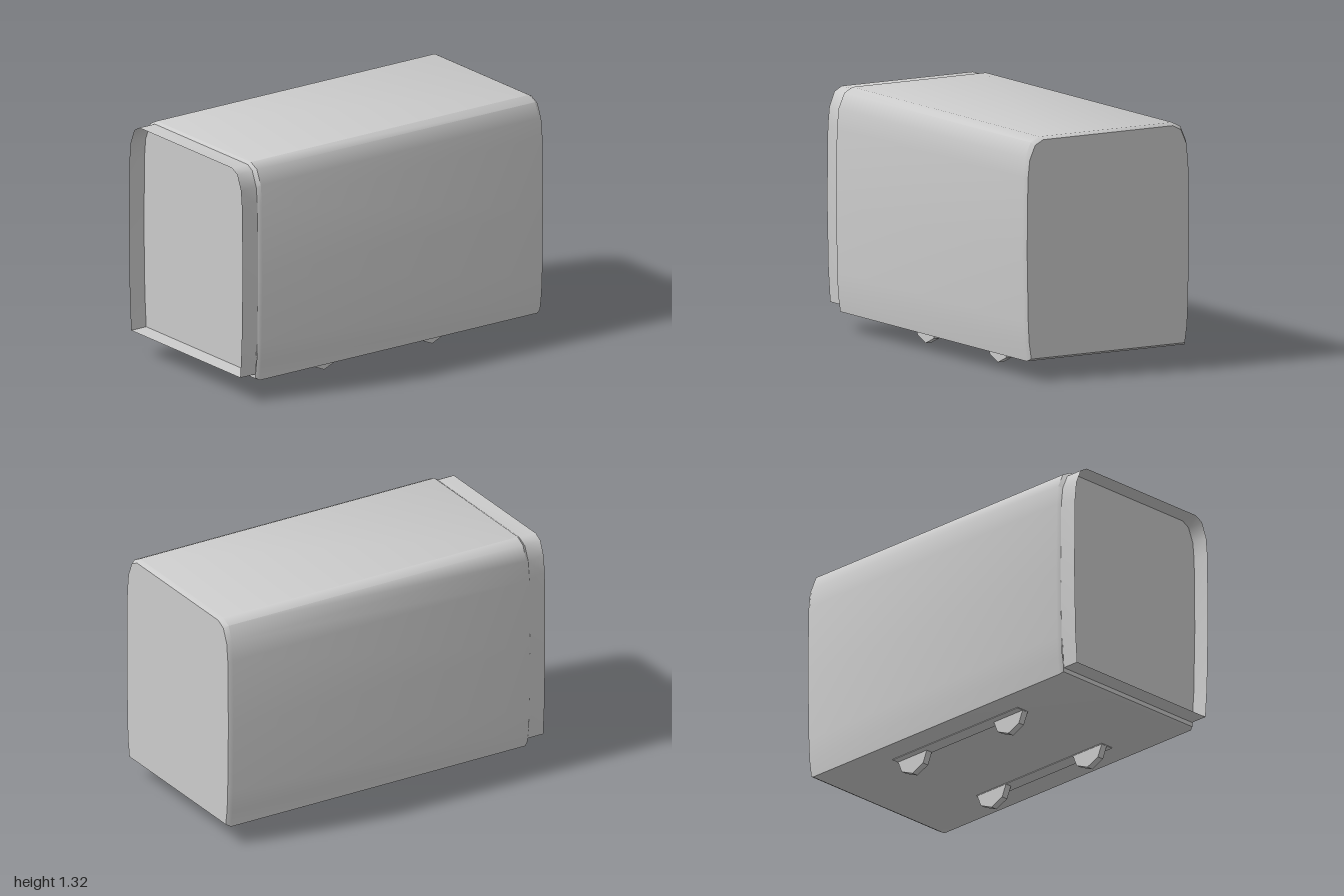
import * as THREE from 'three';
import { toCreasedNormals } from 'three/addons/utils/BufferGeometryUtils.js';

const grey = new THREE.MeshStandardMaterial({ color: 0xcccccc, side: THREE.DoubleSide });
grey.name = 'grey';

// Right half of each outline, bottom to top
const bodyHalf = [[0.5, 0.105], [0.514, 0.2], [0.52, 0.32], [0.527, 0.7], [0.522, 1.1], [0.51, 1.21], [0.475, 1.29], [0.422, 1.317]];
const collarHalf = [[0.488, 0.14], [0.5, 0.32], [0.508, 0.7], [0.503, 1.1], [0.493, 1.2], [0.46, 1.28], [0.415, 1.305]];
const panelHalf = [[0.49, 0.115], ...collarHalf.slice(1)];

// Mirror a half outline into a counter-clockwise loop
const mirror = (half) => [...half, ...half.map(([x, y]) => [-x, y]).reverse()];

// Shrink an outline towards its middle
const inset = (loop, d) => loop.map(([x, y]) => [x * (1 - d / 0.527), 0.711 + (y - 0.711) * (1 - d / 0.606)]);

// Skin loops of equal length, from back to front
function loft(sections) {
  const pos = [];
  for (let s = 0; s < sections.length - 1; s++) {
    const a = sections[s], b = sections[s + 1], n = a.loop.length;
    for (let i = 0; i < n; i++) {
      const j = (i + 1) % n;
      const p = [...a.loop[i], a.z], q = [...a.loop[j], a.z];
      const r = [...b.loop[j], b.z], t = [...b.loop[i], b.z];
      pos.push(...p, ...q, ...r, ...p, ...r, ...t);
    }
  }
  const g = new THREE.BufferGeometry();
  g.setAttribute('position', new THREE.Float32BufferAttribute(pos, 3));
  return toCreasedNormals(g, 0.7);
}

const shapeOf = (loop) => new THREE.Shape(loop.map(([x, y]) => new THREE.Vector2(x, y)));

export function createModel() {
  const model = new THREE.Group();
  const add = (name, geometry, x = 0, y = 0, z = 0) => {
    const mesh = new THREE.Mesh(geometry, grey);
    mesh.name = name;
    mesh.position.set(x, y, z);
    model.add(mesh);
  };

  // Long rounded housing with narrow chamfers at both ends
  const body = mirror(bodyHalf), end = inset(body, 0.014);
  add('housing', loft([
    { z: -1, loop: end }, { z: -0.975, loop: body },
    { z: 0.88, loop: body }, { z: 0.9, loop: end },
  ]));
  add('backPanel', new THREE.ShapeGeometry(shapeOf(end)).rotateY(Math.PI), 0, 0, -1);

  // Open collar around a recessed front panel
  const collar = mirror(collarHalf);
  add('frontCollar', loft([{ z: 0.895, loop: collar }, { z: 1, loop: collar }]));
  add('frontPanel', new THREE.ShapeGeometry(shapeOf(mirror(panelHalf))), 0, 0, 0.9);

  // Two mounting rails, each with two pointed feet
  const footShape = shapeOf([[-0.11, 0.105], [-0.08, 0.035], [0, 0], [0.08, 0.035], [0.11, 0.105]]);
  const foot = new THREE.ExtrudeGeometry(footShape, { depth: 0.038, bevelEnabled: false });
  foot.translate(0, 0, -0.019).rotateY(Math.PI / 2);
  for (const side of [1, -1]) {
    add('rail', new THREE.BoxGeometry(0.08, 0.014, 0.94), side * 0.32, 0.108, -0.045);
    for (const z of [0.315, -0.405]) add('foot', foot, side * 0.301, 0, z);
  }
  return model;
}
